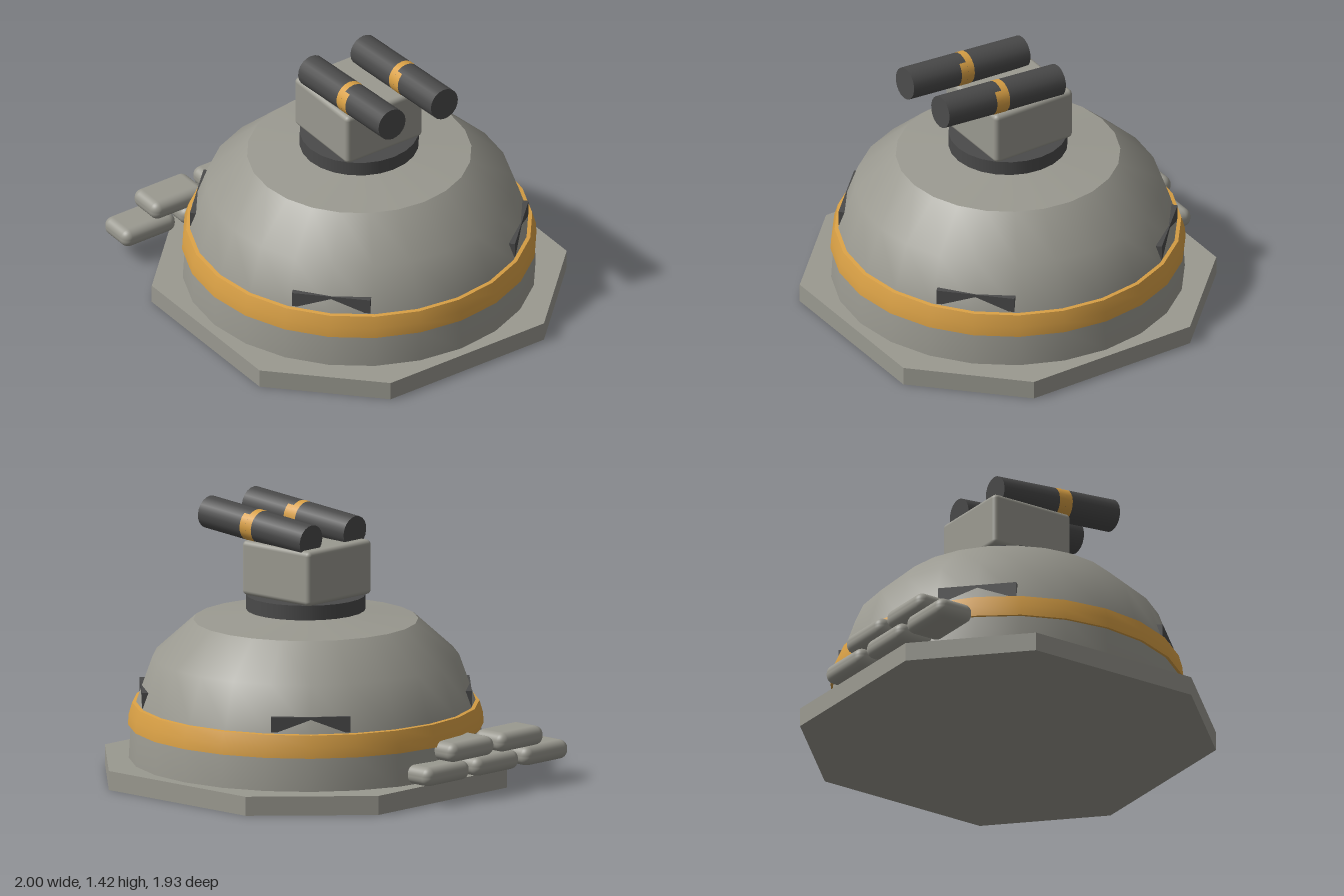
import * as THREE from 'three';
import { RoundedBoxGeometry } from 'three/addons/geometries/RoundedBoxGeometry.js';

const mat = (name, color) => {
  const m = new THREE.MeshStandardMaterial({ color });
  m.name = name;
  return m;
};

export function createModel() {
  const concrete = mat('concrete grey', 0x9a9990);
  const dark = mat('gunmetal', 0x4a4a4a);
  const amber = mat('amber', 0xd9a045);

  const model = new THREE.Group();
  model.name = 'bunkerTurret';
  const add = (parent, name, geometry, material, x = 0, y = 0, z = 0) => {
    const mesh = new THREE.Mesh(geometry, material);
    mesh.name = name;
    mesh.position.set(x, y, z);
    parent.add(mesh);
    return mesh;
  };
  const lathe = (points) =>
    new THREE.LatheGeometry(points.map(([r, y]) => new THREE.Vector2(r, y)), 24);

  // Everything except the sandbags shares one vertical axis
  const bunker = new THREE.Group();
  bunker.name = 'bunker';
  bunker.position.x = 0.0325;
  model.add(bunker);

  // Square base slab with cut corners
  const a = 0.9675, b = 0.483;
  const outline = [[a, b], [b, a], [-b, a], [-a, b], [-a, -b], [-b, -a], [b, -a], [a, -b]];
  const slab = new THREE.ExtrudeGeometry(
    new THREE.Shape(outline.map(([x, y]) => new THREE.Vector2(x, y))),
    { depth: 0.1, bevelEnabled: false });
  slab.rotateX(-Math.PI / 2);
  add(bunker, 'baseSlab', slab, concrete);

  // Dome wall, shallow roof cone and painted belt
  add(bunker, 'dome', lathe([[0.913, 0.1], [0.903, 0.27], [0.875, 0.395], [0.79, 0.635], [0.58, 0.825]]), concrete);
  add(bunker, 'domeRoof', lathe([[0.58, 0.825], [0, 0.875]]), concrete);
  add(bunker, 'belt', lathe([[0.917, 0.275], [0.913, 0.33], [0.895, 0.392]]), amber);
  add(bunker, 'beltTopEdge', lathe([[0.895, 0.392], [0.865, 0.396]]), amber);
  add(bunker, 'beltBottomEdge', lathe([[0.89, 0.275], [0.917, 0.275]]), amber);

  // Viewing slits on the four diagonals
  for (let i = 0; i < 4; i++) {
    const angle = Math.PI / 4 + i * Math.PI / 2;
    const r = 0.82;
    const slit = add(bunker, 'viewSlit', new THREE.BoxGeometry(0.41, 0.08, 0.06), dark,
      Math.sin(angle) * r, 0.44, Math.cos(angle) * r);
    slit.rotation.y = angle;
  }

  // Turret ring and housing
  add(bunker, 'turretRing', new THREE.CylinderGeometry(0.308, 0.308, 0.077, 24), dark, 0, 0.9165, 0);
  add(bunker, 'turretHousing', new RoundedBoxGeometry(0.48, 0.286, 0.48, 3, 0.025), concrete, -0.007, 1.097, 0);

  // Twin barrels, raised slightly towards +x, with a stepped amber marking
  const radius = 0.085;
  for (const z of [-0.165, 0.165]) {
    const barrel = new THREE.Group();
    barrel.name = 'barrel';
    barrel.position.set(0.168, 1.311, z);
    barrel.rotation.z = 0.077;
    bunker.add(barrel);
    const tube = new THREE.CylinderGeometry(radius, radius, 0.722, 20);
    add(barrel, 'barrelTube', tube.rotateZ(-Math.PI / 2), dark);
    const ring = new THREE.CylinderGeometry(radius + 0.0015, radius + 0.0015, 0.04, 20, 1, true);
    add(barrel, 'barrelBand', ring.rotateZ(-Math.PI / 2), amber, 0.005);
    // second half of the marking leaves the top of the barrel bare
    const gap = Math.PI * 0.22;
    const partial = new THREE.CylinderGeometry(radius + 0.0015, radius + 0.0015, 0.04, 16, 1, true,
      -Math.PI / 2 + gap, Math.PI * 2 - gap * 2);
    add(barrel, 'barrelBandStep', partial.rotateZ(-Math.PI / 2), amber, 0.045);
  }

  // Two staggered rows of sandbags along the right flank
  const bag = (y, z) =>
    add(model, 'sandbag', new RoundedBoxGeometry(0.215, 0.1, 0.33, 4, 0.045), concrete, -0.8925, y, z);
  for (let i = 0; i < 3; i++) bag(0.152, -0.01 + i * 0.37);
  for (let i = 0; i < 2; i++) bag(0.252, 0.175 + i * 0.37);

  return model;
}
